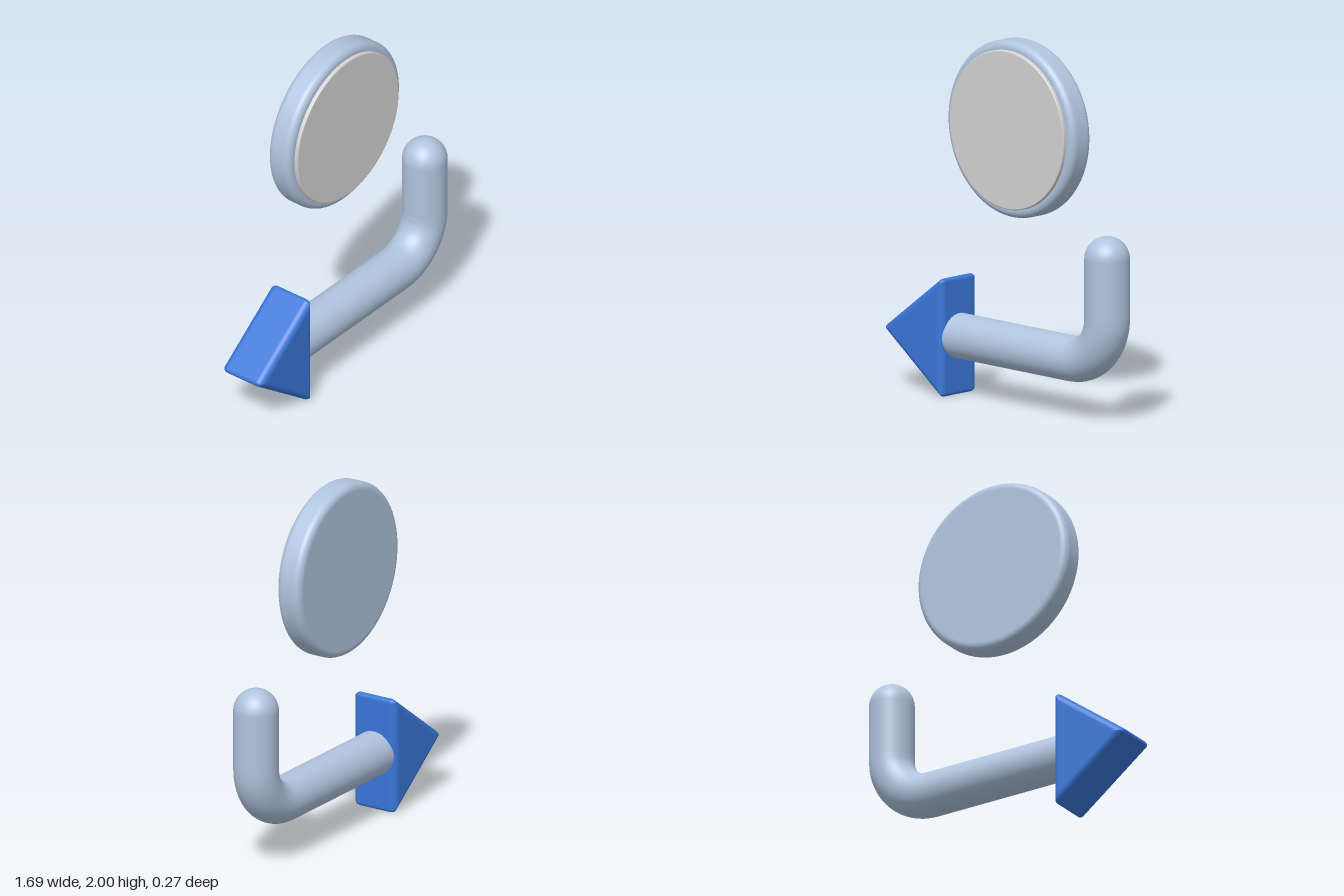
import * as THREE from 'three';

const material = (name, color) => {
  const m = new THREE.MeshStandardMaterial({ color });
  m.name = name;
  return m;
};

function addMesh(group, name, geometry, mat, x = 0, y = 0, z = 0) {
  const mesh = new THREE.Mesh(geometry, mat);
  mesh.name = name;
  mesh.position.set(x, y, z);
  group.add(mesh);
  return mesh;
}

// Round plate with softened rims, its axis along z
function roundPlate(radius, depth, bevel) {
  const h = depth / 2, inner = radius - bevel, steps = 10;
  const half = [];
  for (let i = 0; i <= steps; i++) {
    const a = (i / steps) * Math.PI / 2;
    half.push([inner + bevel * Math.cos(a), h - bevel + bevel * Math.sin(a)]);
  }
  half.push([inner - 0.002, h], [0, h]);
  const points = [
    ...half.map(([r, y]) => new THREE.Vector2(r, -y)).reverse(),
    ...half.map(([r, y]) => new THREE.Vector2(r, y)),
  ];
  return new THREE.LatheGeometry(points, 96).rotateX(Math.PI / 2);
}

// Triangular prism pointing to -x, origin at the incentre, edges rounded
function arrowHead(length, halfHeight, halfDepth, corner, bevel) {
  const side = Math.hypot(length, halfHeight);
  const inradius = length * halfHeight / (side + halfHeight);
  const slant = Math.PI - Math.atan2(length, halfHeight);
  const corners = [
    { x: inradius, y: halfHeight, from: 0, to: slant },
    { x: inradius - length, y: 0, from: slant, to: 2 * Math.PI - slant },
    { x: inradius, y: -halfHeight, from: 2 * Math.PI - slant, to: 2 * Math.PI },
  ];
  const arc = 8, steps = 8, cols = 3 * (arc + 1);
  const position = [], normal = [], index = [];
  let rows = 0;
  for (const sign of [-1, 1]) {
    for (let j = 0; j <= steps; j++) {
      const phi = (sign < 0 ? j / steps - 1 : j / steps) * Math.PI / 2;
      const inset = bevel * (1 - Math.cos(phi));
      const z = sign * (halfDepth - bevel) + bevel * Math.sin(phi);
      const scale = 1 - Math.max(inset, corner) / inradius;
      const radius = Math.max(corner - inset, 0);
      for (const c of corners) {
        for (let k = 0; k <= arc; k++) {
          const t = c.from + (c.to - c.from) * k / arc;
          const nx = Math.cos(t), ny = Math.sin(t);
          position.push(c.x * scale + radius * nx, c.y * scale + radius * ny, z);
          normal.push(nx * Math.cos(phi), ny * Math.cos(phi), Math.sin(phi));
        }
      }
      rows++;
    }
  }
  for (let r = 0; r < rows - 1; r++) {
    for (let k = 0; k < cols; k++) {
      const a = r * cols + k, b = r * cols + (k + 1) % cols;
      index.push(a, b, a + cols, b, b + cols, a + cols);
    }
  }
  // Flat front and back faces
  const last = (rows - 1) * cols;
  for (let k = 1; k < cols - 1; k++) {
    index.push(last, last + k, last + k + 1, 0, k + 1, k);
  }
  const g = new THREE.BufferGeometry();
  g.setAttribute('position', new THREE.Float32BufferAttribute(position, 3));
  g.setAttribute('normal', new THREE.Float32BufferAttribute(normal, 3));
  g.setIndex(index);
  return { geometry: g, inradius };
}

export function createModel() {
  const steel = material('steel blue grey', 0xb0c4de);
  const blue = material('bright blue', 0x3976d7);
  const grey = material('light grey', 0xd3d3d3);
  const model = new THREE.Group();
  model.name = 'wallHook';

  // Mounting disc and the pad on its front
  addMesh(model, 'disc', roundPlate(0.484, 0.15, 0.04), steel, 0.003, 1.516, -0.045);
  addMesh(model, 'pad', roundPlate(0.435, 0.04, 0.008), grey, 0.003, 1.516, 0.031);

  // Bent rod with a domed tip
  const radius = 0.123, axisY = 0.325, postX = 0.72, bend = 0.26, topY = 0.91;
  const straight = (x1, y1, x2, y2) =>
    new THREE.LineCurve3(new THREE.Vector3(x1, y1, 0), new THREE.Vector3(x2, y2, 0));
  const elbow = [];
  for (let i = 0; i <= 8; i++) {
    const a = -Math.PI / 2 + (i / 8) * Math.PI / 2;
    elbow.push(new THREE.Vector3(
      postX - bend + bend * Math.cos(a), axisY + bend + bend * Math.sin(a), 0));
  }
  const path = new THREE.CurvePath();
  path.add(straight(-0.46, axisY, postX - bend, axisY));
  path.add(new THREE.CatmullRomCurve3(elbow));
  path.add(straight(postX, axisY + bend, postX, topY));
  addMesh(model, 'rod', new THREE.TubeGeometry(path, 120, radius, 48), steel);
  addMesh(model, 'rodTip',
    new THREE.SphereGeometry(radius, 48, 16, 0, Math.PI * 2, 0, Math.PI / 2),
    steel, postX, topY, 0);

  // Arrow head at the far end of the rod
  const head = arrowHead(0.459, 0.343, 0.137, 0.02, 0.04);
  addMesh(model, 'arrowHead', head.geometry, blue, -0.405 - head.inradius, axisY, 0);

  return model;
}
